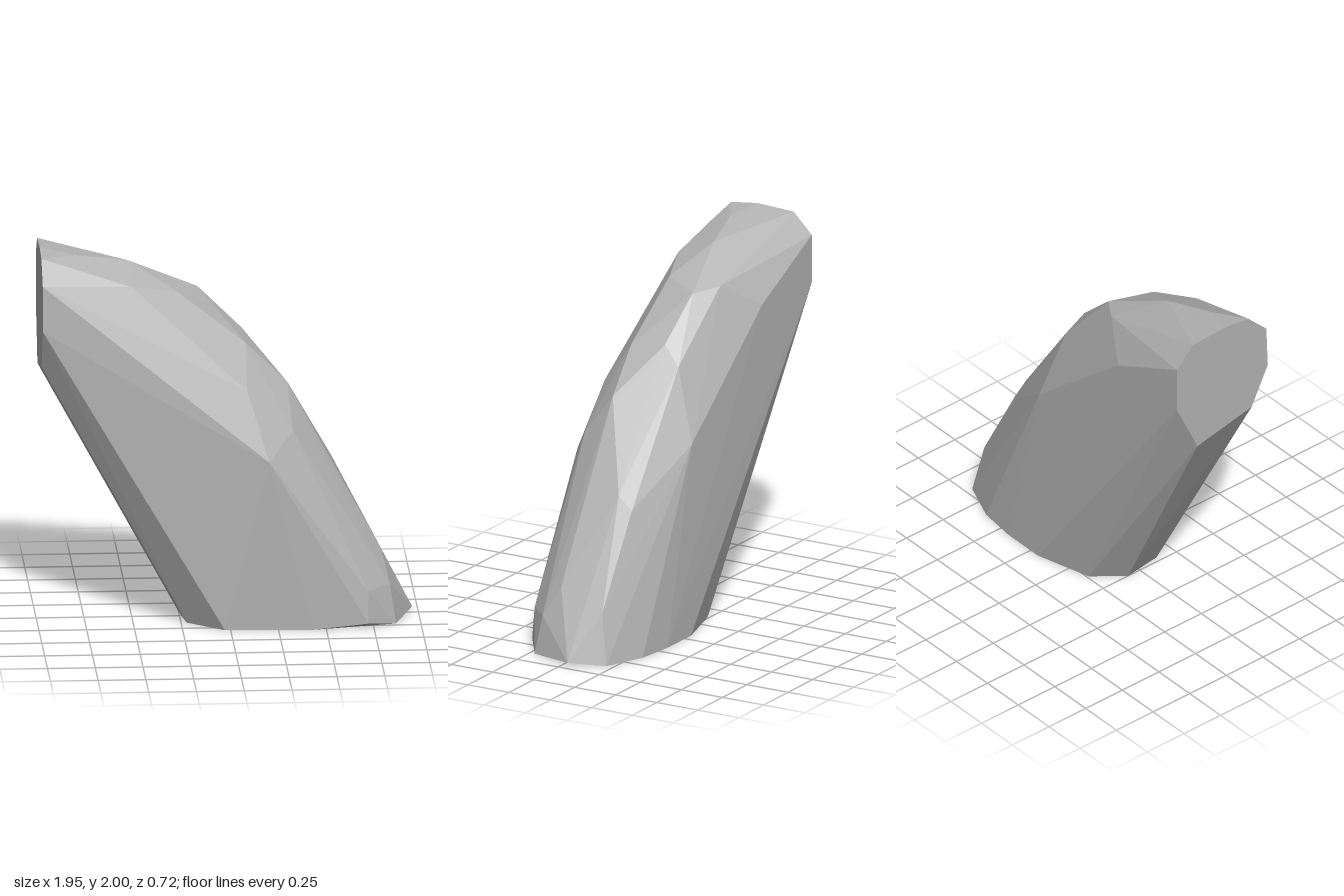
import * as THREE from 'three';
import { ConvexGeometry } from 'three/addons/geometries/ConvexGeometry.js';

const points = (rows) => rows.map((p) => new THREE.Vector3(...p));

export function createModel() {
  const group = new THREE.Group();
  group.name = 'leaningStone';
  const stoneGrey = new THREE.MeshStandardMaterial({ color: 0xb4b4b4 });
  stoneGrey.name = 'stoneGrey';

  // flat upper cut, in the plane x = -0.98, as [y, z]
  const cut = [
    [1.62, 0.26], [1.86, 0.25], [1.98, 0.13], [2, -0.03], [1.99, -0.25],
    [1.88, -0.36], [1.62, -0.36], [1.32, -0.22], [1.4, 0.15],
  ].map(([y, z]) => [-0.98, y, z]);

  // flat foot, with the slightly lifted toe
  const foot = [
    [-0.03, 0, 0.3], [-0.22, 0, 0.14], [-0.25, 0, -0.08], [-0.12, 0, -0.24],
    [0.19, 0, -0.325], [0.43, 0, -0.325], [0.64, 0, -0.3], [0.86, 0, -0.21],
    [0.97, 0.02, -0.04], [0.87, 0, 0.22], [0.72, 0.03, 0.325], [0.43, 0, 0.32],
  ];

  // rounded ridge along the upper side
  const ridge = [
    [-0.8, 1.97, 0.03], [-0.52, 1.92, -0.04], [-0.51, 1.83, 0.17],
    [-0.27, 1.78, 0.08], [-0.28, 1.77, -0.22], [-0.15, 1.75, -0.13],
    [0.08, 1.53, -0.1], [0.09, 1.5, 0.1], [0.11, 1.43, -0.2], [0.31, 1.28, 0.08],
    [0.55, 0.83, -0.1], [0.55, 0.76, -0.18], [0.8, 0.37, 0.1], [0.82, 0.27, -0.16],
  ];

  // broad front and back flanks
  const flanks = [
    [0.33, 1.06, 0.24], [0.2, 0.92, 0.36], [0.09, 1.28, 0.26], [0.72, 0.2, 0.31],
    [0.84, 0.21, 0.19], [-0.49, 1.63, -0.35], [0.18, 1.05, -0.325],
  ];

  const stone = new THREE.Mesh(
    new ConvexGeometry(points([...cut, ...foot, ...ridge, ...flanks])), stoneGrey);
  stone.name = 'stoneBody';
  group.add(stone);
  return group;
}
